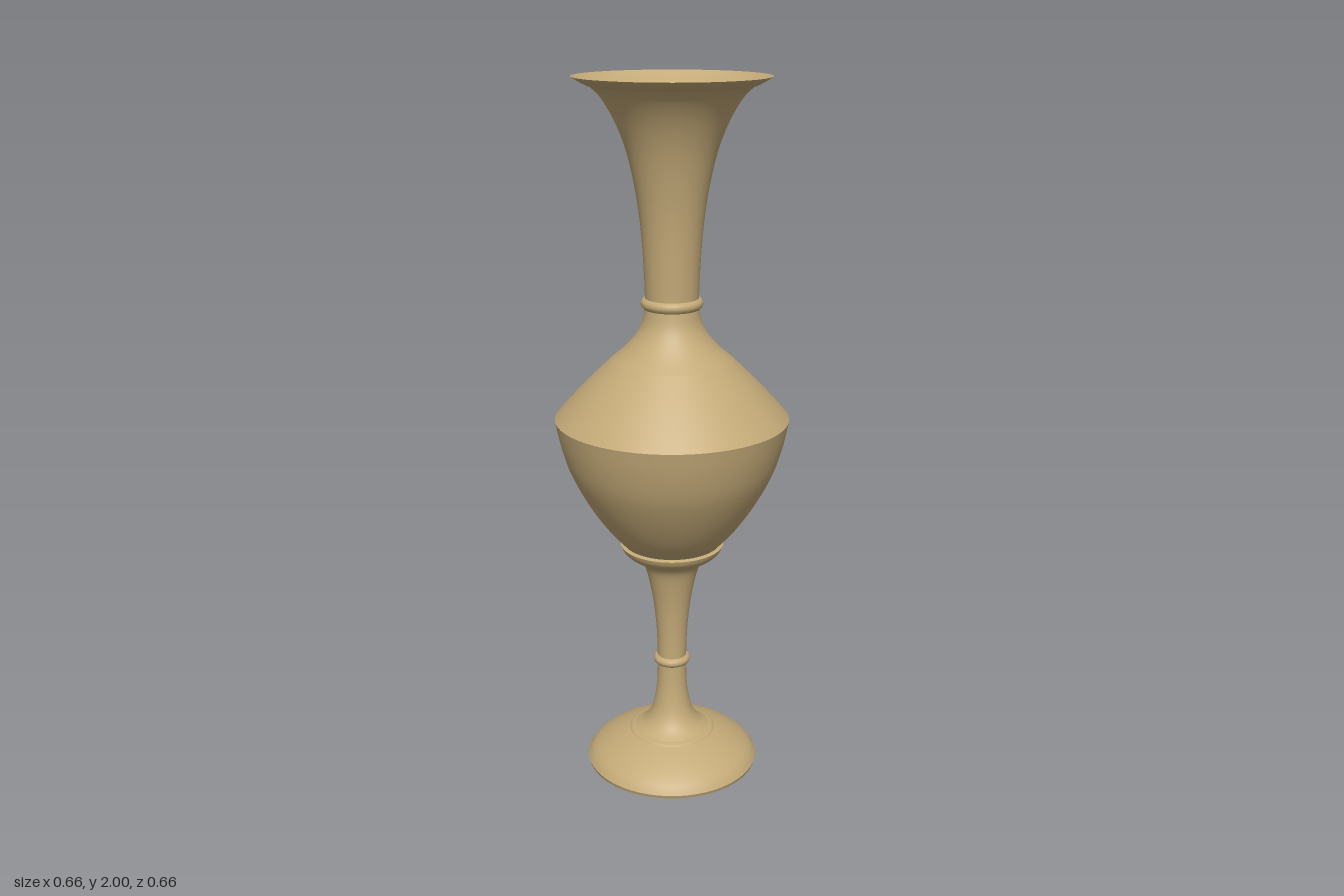
import * as THREE from 'three';

const SEGMENTS = 64;

export function createModel() {
  const model = new THREE.Group();
  model.name = 'vase';
  const clay = new THREE.MeshStandardMaterial({ color: 0xc4aa78, side: THREE.DoubleSide });
  clay.name = 'tan clay';

  // Turned part from a few [radius, height] points; smooth parts run through a spline
  const turn = (name, points, smooth = true) => {
    let profile = points.map(([r, y]) => new THREE.Vector2(r, y));
    if (smooth) profile = new THREE.SplineCurve(profile).getPoints(points.length * 4);
    const mesh = new THREE.Mesh(new THREE.LatheGeometry(profile, SEGMENTS), clay);
    mesh.name = name;
    model.add(mesh);
  };

  // Rounded ring around the stem or neck
  const ring = (name, radius, tube, y) => {
    const geometry = new THREE.TorusGeometry(radius, tube, 12, SEGMENTS).rotateX(Math.PI / 2);
    const mesh = new THREE.Mesh(geometry, clay);
    mesh.name = name;
    mesh.position.y = y;
    model.add(mesh);
  };

  // Foot
  turn('footUnderside', [[0.25, 0], [0, 0]], false);
  turn('footRim', [[0.25, 0], [0.253, 0.01]], false);
  turn('footDome', [[0.253, 0.01], [0.235, 0.034], [0.2, 0.059], [0.16, 0.08], [0.126, 0.094]]);
  turn('footStep', [[0.126, 0.094], [0.122, 0.1], [0.11, 0.102]], false);

  // Stem
  turn('lowerStem', [[0.11, 0.102], [0.084, 0.12], [0.064, 0.15], [0.052, 0.19], [0.044, 0.25], [0.042, 0.325]]);
  ring('stemRing', 0.04, 0.014, 0.325);
  turn('upperStem', [[0.042, 0.325], [0.045, 0.42], [0.054, 0.51], [0.067, 0.58], [0.08, 0.625], [0.098, 0.65]]);
  turn('bowlCollar', [[0.098, 0.65], [0.122, 0.66], [0.14, 0.677], [0.148, 0.694]]);
  turn('collarLip', [[0.148, 0.694], [0.138, 0.698]], false);

  // Body
  turn('bowl', [[0.138, 0.698], [0.19, 0.757], [0.242, 0.835], [0.286, 0.92], [0.312, 1.0], [0.328, 1.075]]);
  turn('shoulder', [[0.328, 1.075], [0.3, 1.108], [0.24, 1.173], [0.172, 1.24]]);
  turn('upperShoulder', [[0.172, 1.24], [0.132, 1.275], [0.1, 1.313], [0.082, 1.35], [0.073, 1.4]]);

  // Neck and flared mouth
  ring('neckRing', 0.07, 0.016, 1.4);
  turn('neck', [[0.073, 1.4], [0.077, 1.5], [0.085, 1.61], [0.099, 1.71], [0.122, 1.81], [0.153, 1.89], [0.188, 1.948], [0.215, 1.974]]);
  turn('mouthRim', [[0.215, 1.974], [0.24, 1.985], [0.264, 2]]);

  return model;
}
